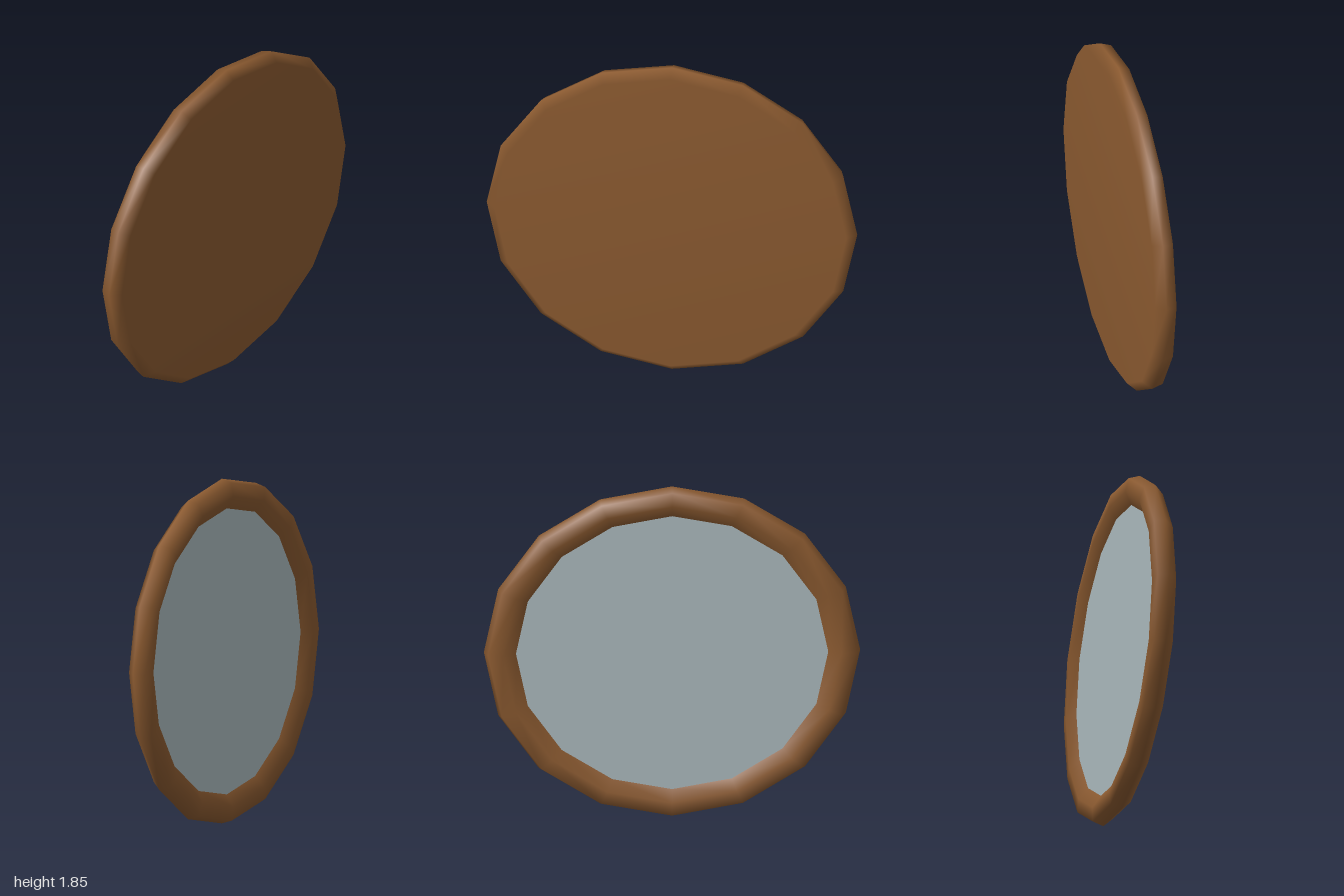
import * as THREE from 'three';

const SIDES = 16;
const HALF_HEIGHT = 0.925; // slightly squashed oval, 1 unit half depth along z

export function createModel() {
  const group = new THREE.Group();
  group.name = 'ovalMirror';

  const wood = new THREE.MeshStandardMaterial({ color: 0x8b5a30 });
  wood.name = 'brown wood';
  const glass = new THREE.MeshStandardMaterial({ color: 0xadbbbf });
  glass.name = 'grey glass';

  // Frame: flat back, bevelled rim, rounded lip falling to the glass (radius, depth)
  const profile = [
    [0, -0.06], [0.95, -0.06], [1, -0.01], [0.98, 0.05], [0.9, 0.06], [0.83, 0.02],
  ].map(([r, d]) => new THREE.Vector2(r, d));
  const frameGeometry = new THREE.LatheGeometry(profile, SIDES);
  frameGeometry.rotateZ(Math.PI / 2); // lathe axis now points to -x
  frameGeometry.scale(1, HALF_HEIGHT, 1);
  const frame = new THREE.Mesh(frameGeometry, wood);
  frame.name = 'frame';

  // Glass: flat oval facing -x, set inside the lip
  const glassGeometry = new THREE.CircleGeometry(0.83, SIDES);
  glassGeometry.rotateY(-Math.PI / 2);
  glassGeometry.scale(1, HALF_HEIGHT, 1);
  const pane = new THREE.Mesh(glassGeometry, glass);
  pane.name = 'mirrorGlass';
  pane.position.x = -0.02;

  for (const part of [frame, pane]) {
    part.position.y = HALF_HEIGHT;
    group.add(part);
  }
  return group;
}
